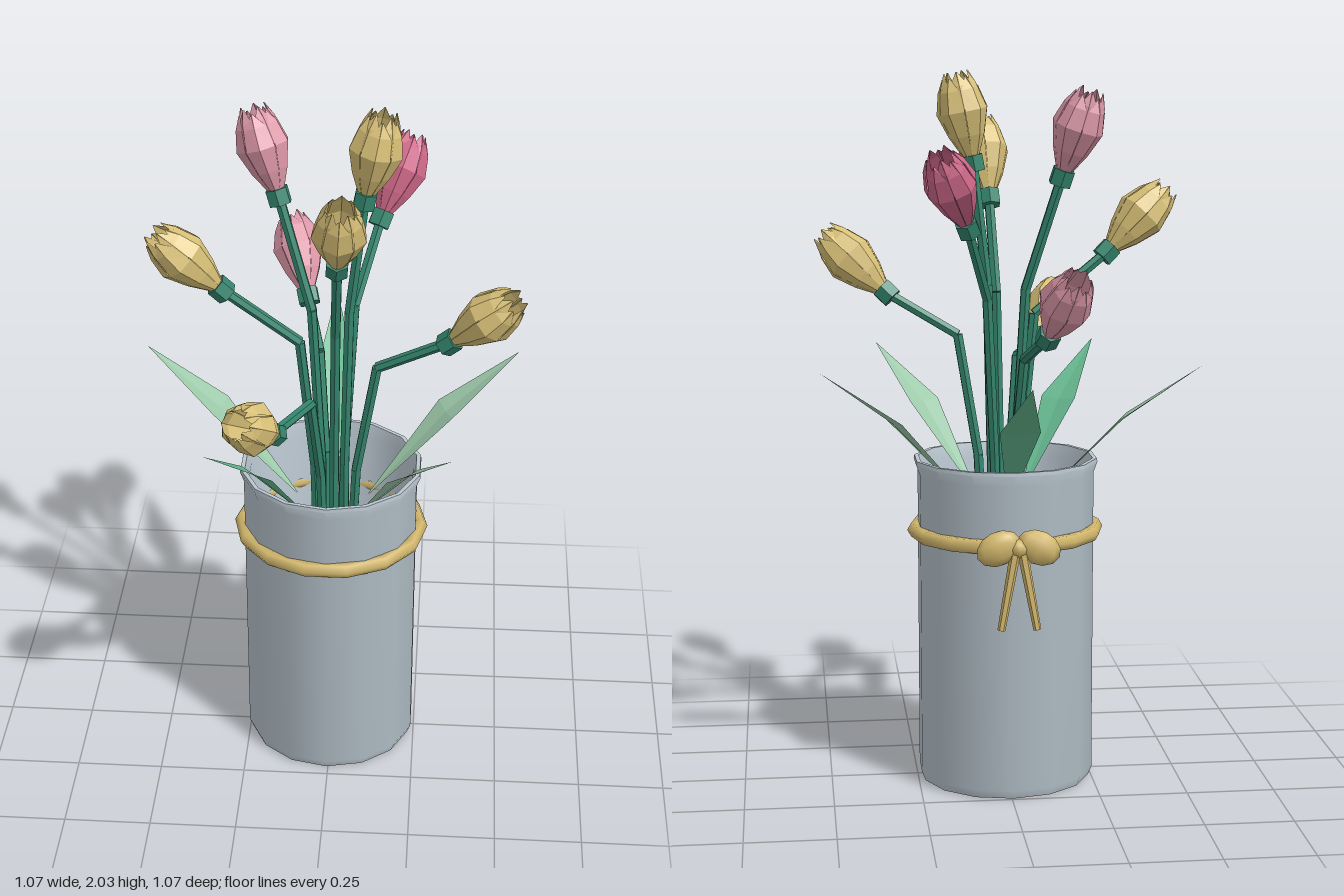
import * as THREE from 'three';
import { toCreasedNormals } from 'three/addons/utils/BufferGeometryUtils.js';

const V = (x, y, z) => new THREE.Vector3(x, y, z);
const UP = V(0, 1, 0);

function mat(name, color, double) {
  const m = new THREE.MeshStandardMaterial({ color });
  m.name = name;
  if (double) m.side = THREE.DoubleSide;
  return m;
}

// Facets a geometry
function flat(g) {
  const f = g.index ? g.toNonIndexed() : g;
  f.computeVertexNormals();
  return f;
}

function mesh(name, geometry, material, parent) {
  const m = new THREE.Mesh(geometry, material);
  m.name = name;
  parent.add(m);
  return m;
}

// Straight rod between two points
function rod(name, a, b, r0, r1, material, parent, sides = 6) {
  const d = b.clone().sub(a);
  const m = mesh(name, flat(new THREE.CylinderGeometry(r1, r0, d.length(), sides)), material, parent);
  m.position.copy(a).addScaledVector(d, 0.5);
  m.quaternion.setFromUnitVectors(UP, d.normalize());
  return m;
}

// Sheet from rows of equal length
function sheet(rows) {
  const pos = [];
  for (let i = 0; i < rows.length - 1; i++) {
    for (let j = 0; j < rows[i].length - 1; j++) {
      const a = rows[i][j], b = rows[i][j + 1], c = rows[i + 1][j + 1], d = rows[i + 1][j];
      for (const p of [a, b, c, a, c, d]) pos.push(p.x, p.y, p.z);
    }
  }
  const g = new THREE.BufferGeometry();
  g.setAttribute('position', new THREE.Float32BufferAttribute(pos, 3));
  g.computeVertexNormals();
  return g;
}

// One creased petal: rows of height, radius and half angle
function petal(grow, stretch) {
  const rows = [[0.015, 0.02, 0.6], [0.08, 0.049, 0.62], [0.15, 0.07, 0.62], [0.21, 0.056, 0.55], [0.247, 0.038, 0.05]];
  return sheet(rows.map(([y, r, a]) => [a, 0, -a].map((t) => {
    const q = r * grow * (t ? 0.96 : 1.04);
    return V(Math.sin(t) * q, y * stretch, Math.cos(t) * q);
  })));
}

export function createModel() {
  const root = new THREE.Group();
  root.name = 'vaseOfFlowers';

  const glass = mat('vase grey', 0xbac7d0, true);
  const water = mat('water', 0xb9dcd3);
  const rope = mat('rope', 0xd2b76c);
  const green = mat('stem green', 0x34856d);
  const paleLeaf = mat('pale leaf', 0x9cc8a9, true);
  const freshLeaf = mat('fresh leaf', 0x66b78f, true);
  const yellow = mat('yellow petal', 0xd8c077, true);
  const pink = mat('pink petal', 0xdc97a8, true);
  const rose = mat('rose petal', 0xcd6788, true);

  // Vase, water and rope share one slightly oval centre
  const pot = new THREE.Group();
  pot.name = 'vase';
  pot.position.set(-0.005, 0, -0.013);
  pot.scale.z = 0.945;
  root.add(pot);
  const profile = [[0, 0], [0.243, 0], [0.253, 0.025], [0.253, 0.9], [0.264, 0.93], [0.262, 0.94],
    [0.25, 0.94], [0.24, 0.9], [0.24, 0.03], [0, 0.03]].map(([x, y]) => new THREE.Vector2(x, y));
  mesh('vaseBody', toCreasedNormals(new THREE.LatheGeometry(profile, 14), 0.6), glass, pot);
  const disc = mesh('waterSurface', new THREE.CircleGeometry(0.241, 14), water, pot);
  disc.rotation.x = -Math.PI / 2;
  disc.position.y = 0.62;

  const ring = mesh('ropeRing', new THREE.TorusGeometry(0.259, 0.022, 6, 14), rope, pot);
  ring.rotation.x = Math.PI / 2;
  ring.position.y = 0.732;

  // Bow on the back
  const bow = new THREE.Group();
  bow.name = 'bow';
  bow.position.set(-0.015, 0.732, -0.272);
  root.add(bow);
  for (const s of [-1, 1]) {
    const loop = mesh('bowLoop', new THREE.SphereGeometry(1, 8, 6), rope, bow);
    loop.scale.set(0.065, 0.048, 0.03);
    loop.position.set(s * 0.055, 0, 0.002);
    loop.rotation.z = -s * 0.45;
    rod('bowTail', V(s * 0.01, -0.01, -0.005), V(s * 0.05, -0.228, -0.014), 0.015, 0.011, rope, bow);
  }
  mesh('bowKnot', new THREE.SphereGeometry(0.028, 8, 6), rope, bow);

  // Flowers: petal colour, stem bend, head base, head tip
  const flowers = [
    [pink, V(-0.045, 1.235, -0.135), V(-0.09, 1.32, -0.305), V(-0.15, 1.5, -0.475)],
    [rose, V(0.055, 1.4, -0.11), V(0.12, 1.61, -0.233), V(0.205, 1.81, -0.355)],
    [pink, V(-0.06, 1.42, -0.037), V(-0.153, 1.735, -0.095), V(-0.222, 1.96, -0.14)],
    [yellow, V(0.045, 1.43, -0.013), V(0.085, 1.77, -0.015), V(0.128, 1.99, -0.015)],
    [yellow, V(0.125, 1.285, 0.035), V(0.322, 1.4, 0.085), V(0.5, 1.57, 0.145)],
    [yellow, V(-0.09, 1.345, 0.012), V(-0.3, 1.515, 0.036), V(-0.487, 1.705, 0.067)],
    [yellow, V(0.012, 1.4, 0.07), V(0.022, 1.66, 0.168), V(0.038, 1.88, 0.275)],
    [yellow, V(-0.052, 1.21, 0.115), V(-0.138, 1.232, 0.313), V(-0.222, 1.375, 0.505)],
  ];
  for (const [color, bend, base, tip] of flowers) {
    const flower = new THREE.Group();
    flower.name = 'flower';
    root.add(flower);
    const out = V(bend.x, 0, bend.z).normalize();
    const reach = Math.hypot(bend.x, bend.z);
    const neck = out.clone().multiplyScalar(Math.max(0.035, reach * 0.55)).setY(0.94);
    const foot = out.clone().multiplyScalar(0.032).setY(0.1);
    const path = [foot, neck, bend, base];
    for (let i = 0; i < 3; i++) rod('stem', path[i], path[i + 1], 0.015, 0.015, green, flower);

    const head = new THREE.Group();
    head.name = 'flowerHead';
    head.position.copy(base);
    head.quaternion.setFromUnitVectors(UP, tip.clone().sub(base).normalize());
    flower.add(head);
    mesh('flowerCup', flat(new THREE.CylinderGeometry(0.033, 0.033, 0.045, 6)), green, head);
    // Outer and inner whorls of petals
    for (let i = 0; i < 10; i++) {
      const inner = i % 2;
      const p = mesh('petal', petal(inner ? 0.9 : 1.04, inner ? 1.03 : 0.97), color, head);
      p.rotation.y = (i * Math.PI) / 5;
    }
  }

  // Leaves: colour and tip position, bent once at the widest point
  const leaves = [
    [freshLeaf, -0.02, -0.54], [paleLeaf, 0.52, -0.2], [paleLeaf, 0.34, 0.395],
    [freshLeaf, -0.315, 0.415], [paleLeaf, -0.54, -0.165],
  ];
  for (const [color, x, z] of leaves) {
    const len = Math.hypot(x, z);
    const rows = [[0.11, 0.82, 0.003], [len * 0.61, 1.065, 0.056], [len, 1.215, 0.001]]
      .map(([r, y, w]) => [V(-w, y, r), V(0, y - w * 0.15, r), V(w, y, r)]);
    mesh('leaf', sheet(rows), color, root).rotation.y = Math.atan2(x, z);
  }
  return root;
}
